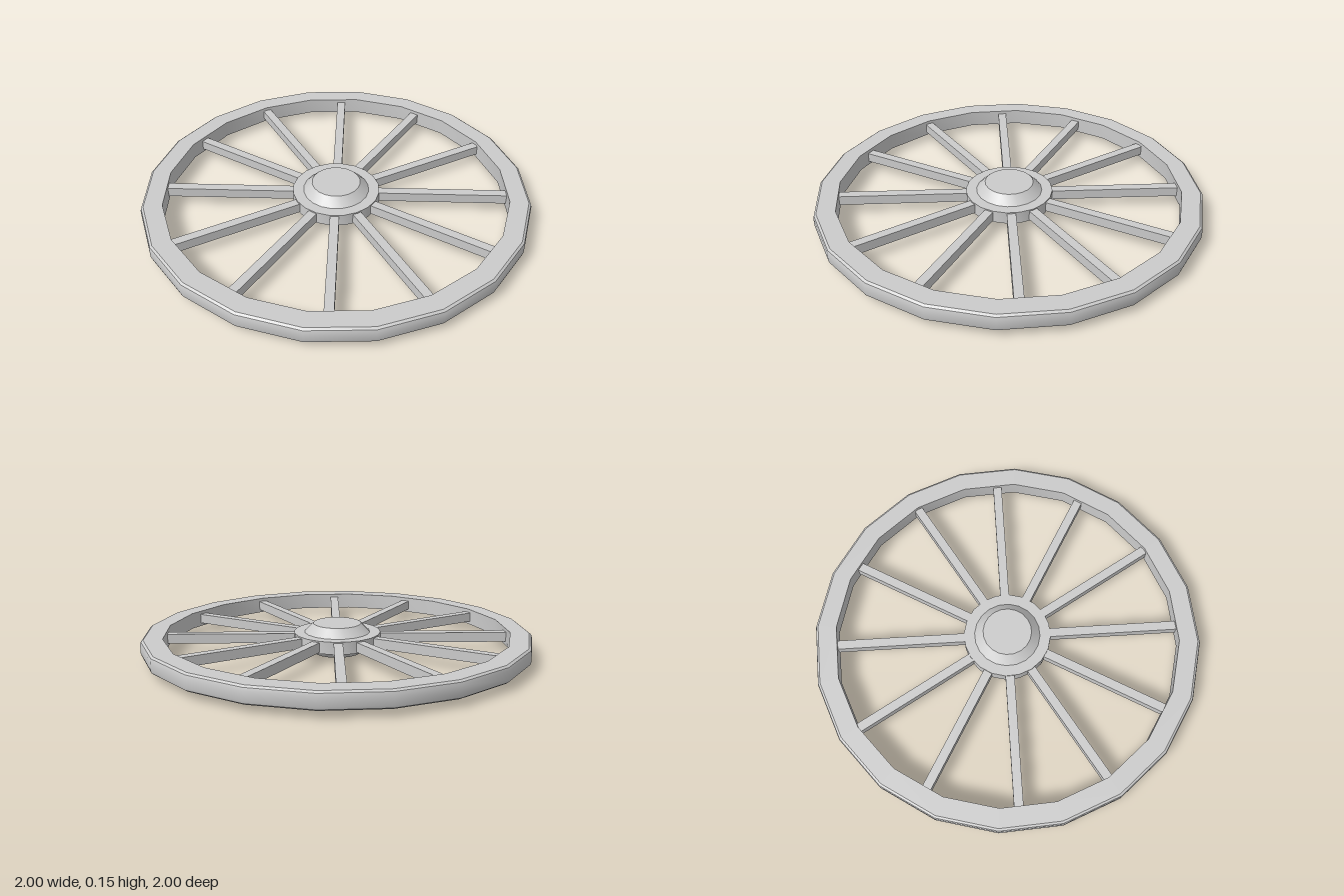
import * as THREE from 'three';
import { toCreasedNormals } from 'three/addons/utils/BufferGeometryUtils.js';

const material = new THREE.MeshStandardMaterial({ color: 0xcccccc });
const MID = 0.077; // height of the wheel's middle plane

// Turned part, smooth around and sharp at the profile's corners
function turned(name, profile, segments) {
  const points = profile.map(([r, y]) => new THREE.Vector2(r, y));
  const geometry = toCreasedNormals(new THREE.LatheGeometry(points, segments), 0.6);
  const mesh = new THREE.Mesh(geometry, material);
  mesh.name = name;
  return mesh;
}

export function createModel() {
  const wheel = new THREE.Group();
  wheel.name = 'spokedWheel';

  // Rim: 20-sided ring with softened outer edges
  wheel.add(turned('rim', [
    [0.89, 0.034], [0.985, 0.034], [0.996, 0.042], [1, 0.055],
    [1, 0.099], [0.996, 0.112], [0.985, 0.12], [0.89, 0.12], [0.89, 0.034],
  ], 20));

  // Hub: flat disc with a tapered cap above and below
  wheel.add(turned('hub', [
    [0, 0], [0.125, 0], [0.17, 0.045], [0.225, 0.045],
    [0.225, 0.109], [0.17, 0.109], [0.125, 0.154], [0, 0.154],
  ], 20));

  // Twelve square spokes from the hub into the rim
  const inner = 0.19, outer = 0.91;
  const spokeGeometry = new THREE.BoxGeometry(outer - inner, 0.05, 0.046);
  spokeGeometry.translate((inner + outer) / 2, 0, 0);
  const spokes = new THREE.Group();
  spokes.name = 'spokes';
  for (let i = 0; i < 12; i++) {
    const spoke = new THREE.Mesh(spokeGeometry, material);
    spoke.name = 'spoke';
    spoke.position.y = MID;
    spoke.rotation.y = (i * Math.PI) / 6;
    spokes.add(spoke);
  }
  wheel.add(spokes);
  return wheel;
}
